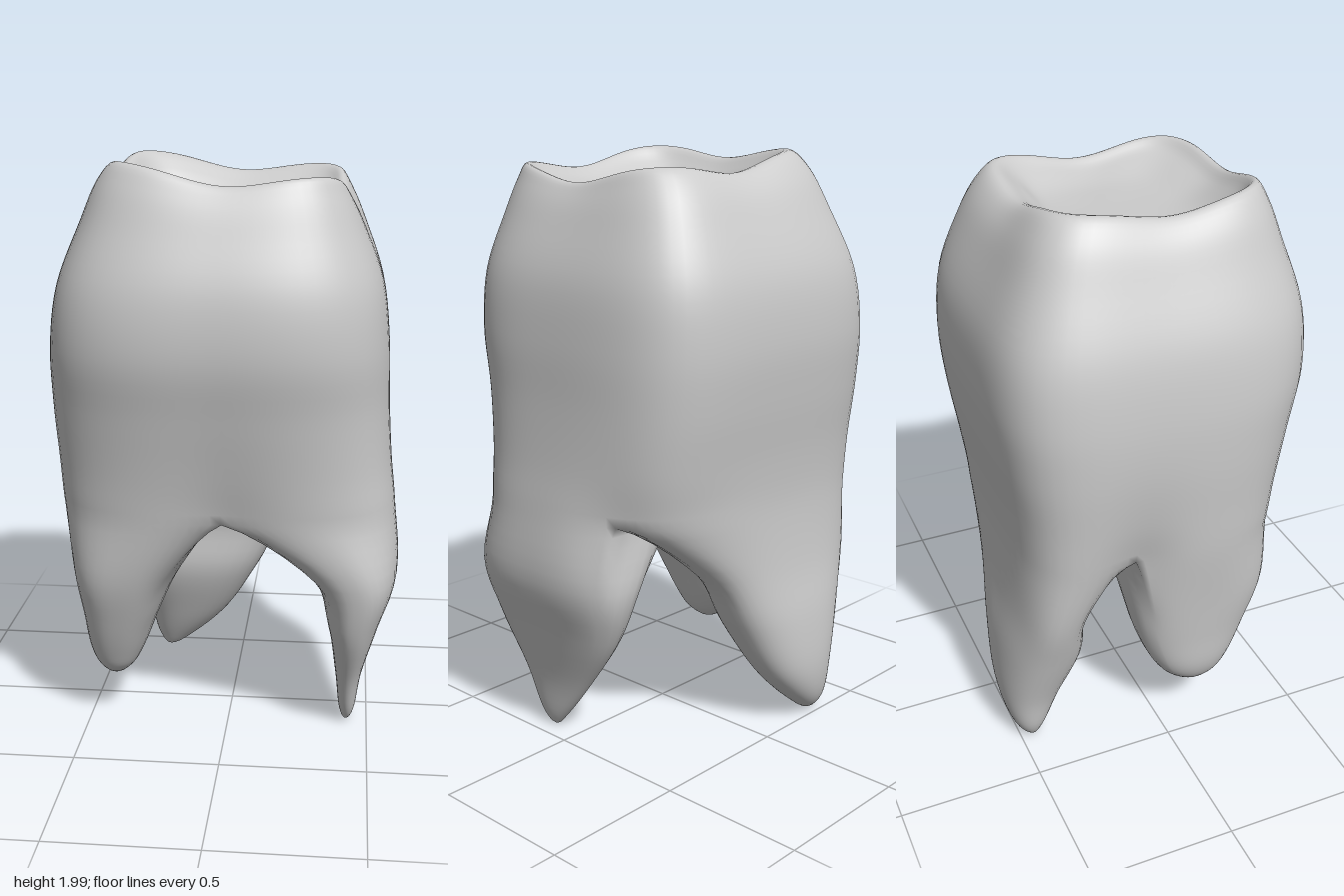
import * as THREE from 'three';
import { mergeVertices } from 'three/addons/utils/BufferGeometryUtils.js';

const COLS = 96; // columns around the crown
const STEPS = 5; // rows between two control sections
const INNER = 8; // steps from a furcation to the hub between the roots
const HUB = new THREE.Vector3(0, 0.79, -0.17);
// Grooves running up the crown from between the roots: column, strength, width
const GROOVES = [[24, 0.5, 4.5], [52, 0.8, 4.5], [85, 1.15, 6.5]];

// Crown sections from the chewing surface down:
// y, xMin, xMax, zMin, zMax, squareness, cusp height, groove depth
const CROWN = [
  [1.845, -0.06, -0.06, -0.03, -0.03, 4, 0, 0],
  [1.845, -0.18, 0.1, -0.14, 0.12, 4, 0, 0],
  [1.855, -0.27, 0.22, -0.205, 0.23, 5, 0.2, 0],
  [1.89, -0.32, 0.32, -0.26, 0.335, 5, 0.7, 0],
  [1.925, -0.37, 0.37, -0.33, 0.39, 4.5, 1, 0],
  [1.88, -0.43, 0.405, -0.395, 0.43, 4.2, 0.7, 0],
  [1.78, -0.485, 0.45, -0.455, 0.475, 4, 0.3, 0],
  [1.6, -0.565, 0.515, -0.53, 0.54, 3.8, 0, 0.012],
  [1.4, -0.597, 0.54, -0.552, 0.552, 3.7, 0, 0.02],
  [1.2, -0.6, 0.547, -0.538, 0.512, 3.7, 0, 0.03],
  [1.0, -0.588, 0.56, -0.512, 0.47, 3.9, 0, 0.065],
  [0.83, -0.575, 0.578, -0.5, 0.44, 4.2, 0, 0.13],
  [0.62, -0.55, 0.59, -0.505, 0.41, 4.2, 0, 0.2], // only guides the slope
];

// Root sections below the crown: y, xMin, xMax, zMin, zMax, ending at the tip
const ROOTS = [
  { name: 'leftRoot', from: 88, to: 120, sections: [
    [0.6, 0.28, 0.592, -0.265, 0.4], [0.4, 0.35, 0.535, -0.2, 0.35],
    [0.2, 0.382, 0.48, -0.06, 0.25], [0.05, 0.4, 0.455, 0.06, 0.18],
    [0, 0.425, 0.425, 0.12, 0.12]] },
  { name: 'rightFrontRoot', from: 24, to: 52, sections: [
    [0.6, -0.54, -0.16, -0.12, 0.39], [0.42, -0.517, -0.245, -0.08, 0.33],
    [0.28, -0.5, -0.3, -0.02, 0.27], [0.2, -0.465, -0.345, 0.05, 0.22],
    [0.16, -0.41, -0.41, 0.14, 0.14]] },
  { name: 'backRoot', from: 52, to: 88, sections: [
    [0.6, -0.5, 0.19, -0.512, -0.25], [0.4, -0.44, 0.07, -0.54, -0.255],
    [0.2, -0.375, -0.05, -0.547, -0.33], [0.06, -0.345, -0.19, -0.515, -0.4],
    [0, -0.3, -0.3, -0.45, -0.45]] },
];

const columnGap = (j, f) => {
  const d = Math.abs(((j - f) % COLS + COLS) % COLS);
  return Math.min(d, COLS - d);
};

// Point of a rounded rectangle in the given direction
function onSection([y, x0, x1, z0, z1], angle, n, shrink = 1) {
  const c = Math.cos(angle), s = Math.sin(angle);
  const r = shrink * (Math.abs(c) ** n + Math.abs(s) ** n) ** (-1 / n);
  return new THREE.Vector3((x0 + x1) / 2 + r * c * (x1 - x0) / 2, y,
    (z0 + z1) / 2 + r * s * (z1 - z0) / 2);
}

function crownPoint(row, j) {
  const angle = (j % COLS) / COLS * Math.PI * 2;
  const [, , , , , n, cusp, groove] = row;
  let pinch = 0;
  for (const [f, strength, width] of GROOVES) {
    pinch += strength * Math.exp(-((columnGap(j, f) / width) ** 2));
  }
  // the front corners are rounder than the back ones
  const p = onSection(row, angle, n - 0.8 * Math.sin(angle), 1 - groove * pinch);
  // four cusps, the ones on the right being taller
  p.y += cusp * (0.045 * Math.sin(2 * angle) ** 2 - 0.03 * Math.cos(angle));
  return p;
}

// Catmull-Rom rows through one column; the first and last points only guide
function smoothColumn(points) {
  const out = [];
  const mix = (a, b, c, d, t) => 0.5 * (2 * b + (c - a) * t +
    (2 * a - 5 * b + 4 * c - d) * t * t + (3 * b - a - 3 * c + d) * t ** 3);
  for (let i = 1; i < points.length - 2; i++) {
    const [a, b, c, d] = points.slice(i - 1, i + 3);
    for (let k = 0; k < STEPS; k++) {
      const t = k / STEPS;
      out.push(new THREE.Vector3(mix(a.x, b.x, c.x, d.x, t),
        mix(a.y, b.y, c.y, d.y, t), mix(a.z, b.z, c.z, d.z, t)));
    }
  }
  out.push(points[points.length - 2].clone());
  return out;
}

// Mirror of q about p at q's own height, so a column meets p level
const levelGuide = (p, q) => new THREE.Vector3(2 * p.x - q.x, q.y, 2 * p.z - q.z);

function crownColumns() {
  return Array.from({ length: COLS }, (_, j) => {
    const pts = CROWN.map((row) => crownPoint(row, j));
    return smoothColumn([levelGuide(pts[0], pts[1]), ...pts]);
  });
}

function rootColumns({ from, to, sections }) {
  const base = CROWN[CROWN.length - 2], above = CROWN[CROWN.length - 3];
  // the top ring runs along the crown edge, then back through the hub
  const ring = [];
  for (let j = from; j <= to; j++) {
    const d = Math.min(j - from, to - j);
    ring.push({ p: crownPoint(base, j), up: crownPoint(above, j), arch: Math.exp(-((d / 2) ** 2)) });
  }
  const start = crownPoint(base, from), end = crownPoint(base, to);
  const addInner = (f, k) => {
    const p = f.clone().lerp(HUB, k / INNER);
    ring.push({ p, up: p, arch: 1 });
  };
  for (let k = 1; k <= INNER; k++) addInner(end, k);
  for (let k = INNER - 1; k > 0; k--) addInner(start, k);

  const box = new THREE.Box3().setFromPoints(ring.map((r) => r.p));
  const mid = box.getCenter(new THREE.Vector3()), size = box.getSize(new THREE.Vector3());
  return ring.map(({ p, up, arch }) => {
    const angle = Math.atan2((p.z - mid.z) / size.z, (p.x - mid.x) / size.x);
    // sections grow rounder towards the tip
    const pts = sections.map((s, i) => onSection(s, angle, 2.7 - 0.2 * i));
    const level = levelGuide(p, pts[0]);
    level.y = p.y;
    const tip = pts[pts.length - 1];
    return smoothColumn([up.clone().lerp(level, arch), p, ...pts,
      levelGuide(tip, pts[pts.length - 2])]);
  });
}

export function createModel() {
  const positions = [], index = [], parts = [];

  // Skin a closed loop of columns and remember its share of the faces
  function addPart(name, columns) {
    const first = positions.length / 3, rows = columns[0].length, start = index.length;
    for (const column of columns) for (const p of column) positions.push(p.x, p.y, p.z);
    columns.forEach((_, j) => {
      const a0 = first + j * rows, b0 = first + ((j + 1) % columns.length) * rows;
      for (let i = 0; i < rows - 1; i++) {
        const a = a0 + i, b = b0 + i;
        index.push(a, b, a + 1, b, b + 1, a + 1);
      }
    });
    parts.push({ name, start, count: index.length - start });
  }

  addPart('crown', crownColumns());
  for (const root of ROOTS) addPart(root.name, rootColumns(root));

  // Normals are shared over the whole tooth so the parts join without a seam
  let skin = new THREE.BufferGeometry();
  skin.setAttribute('position', new THREE.Float32BufferAttribute(positions, 3));
  skin.setIndex(index);
  skin = mergeVertices(skin, 1e-4);
  skin.computeVertexNormals();

  const material = new THREE.MeshStandardMaterial({ color: 0xcccccc });
  const tooth = new THREE.Group();
  tooth.name = 'tooth';
  for (const { name, start, count } of parts) {
    const geometry = new THREE.BufferGeometry();
    geometry.setAttribute('position', skin.attributes.position);
    geometry.setAttribute('normal', skin.attributes.normal);
    geometry.setIndex(Array.from(skin.index.array.slice(start, start + count)));
    const mesh = new THREE.Mesh(geometry, material);
    mesh.name = name;
    tooth.add(mesh);
  }
  return tooth;
}
